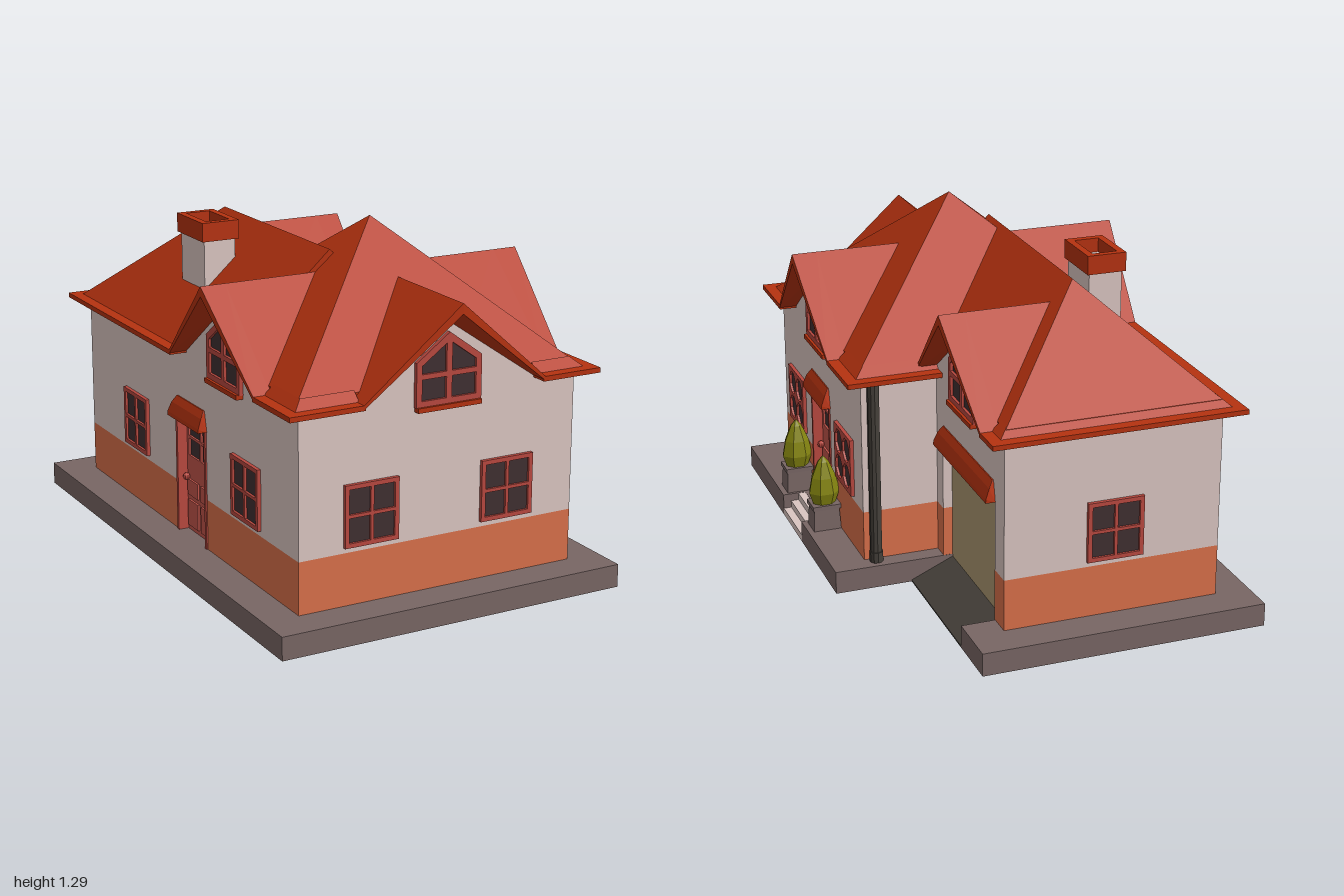
import * as THREE from 'three';
import { ConvexGeometry } from 'three/addons/geometries/ConvexGeometry.js';

const mat = (name, color) => Object.assign(new THREE.MeshStandardMaterial({ color, flatShading: true }), { name });
const M = {
  plaster: mat('plaster', 0xdac5c1), skirt: mat('orange skirting', 0xd8704a), stone: mat('grey stone', 0x786664),
  roof: mat('roof red', 0xb53210), frame: mat('window frame red', 0xb8483f), door: mat('door red', 0xc0544a),
  glass: mat('dark glass', 0x3f2f31), leaf: mat('leaf green', 0x848410), iron: mat('dark iron', 0x45403a),
  shutter: mat('shutter tan', 0xab9570),
};
const V = (x, y, z) => new THREE.Vector3(x, y, z);

function add(parent, name, geometry, material, x = 0, y = 0, z = 0) {
  const m = new THREE.Mesh(geometry, material);
  m.name = name;
  m.position.set(x, y, z);
  parent.add(m);
  return m;
}
// box given by its limits
function box(parent, name, material, x0, x1, y0, y1, z0, z1) {
  return add(parent, name, new THREE.BoxGeometry(x1 - x0, y1 - y0, z1 - z0), material, (x0 + x1) / 2, (y0 + y1) / 2, (z0 + z1) / 2);
}
const toShape = (pts) => new THREE.Shape(pts.map(([x, y]) => new THREE.Vector2(x, y)));
function plate(pts, depth, holes = []) {
  const s = toShape(pts);
  s.holes = holes.map(toShape);
  return new THREE.ExtrudeGeometry(s, { depth, bevelEnabled: false });
}
const rect = (x0, x1, y0, y1) => [[x0, y0], [x1, y0], [x1, y1], [x0, y1]];
// rectangle with cut corners
const cut = (x0, x1, y0, y1, c) => [[x0 + c, y0], [x1 - c, y0], [x1, y0 + c], [x1, y1 - c],
  [x1 - c, y1], [x0 + c, y1], [x0, y1 - c], [x0, y0 + c]];

// closed strip through matching cross-sections, both ends capped as fans
function loft(sections) {
  const out = [], n = sections[0].length;
  const tri = (...p) => p.forEach((v) => out.push(v.x, v.y, v.z));
  for (let s = 0; s + 1 < sections.length; s++) {
    const A = sections[s], B = sections[s + 1];
    for (let i = 0; i < n; i++) {
      const j = (i + 1) % n;
      tri(A[i], B[i], B[j]);
      tri(A[i], B[j], A[j]);
    }
  }
  const first = sections[0], last = sections[sections.length - 1];
  for (let k = 1; k < n - 1; k++) {
    const i = (4 + k) % n, j = (5 + k) % n;
    tri(first[4], first[i], first[j]);
    tri(last[4], last[j], last[i]);
  }
  const g = new THREE.BufferGeometry();
  g.setAttribute('position', new THREE.Float32BufferAttribute(out, 3));
  g.computeVertexNormals();
  return g;
}

// eave running along wall corners [x, z], outward side on the right of travel
function eave(parent, path) {
  const profile = [[0.065, 0.785], [0.065, 0.803], [0.022, 0.803], [-0.014, 0.835], [-0.014, 0.785]];
  const normals = path.slice(1).map(([x, z], i) => [-Math.sign(z - path[i][1]), Math.sign(x - path[i][0])]);
  add(parent, 'eave', loft(path.map(([x, z], i) => {
    const a = normals[i - 1], b = normals[i];
    const nx = (a ? a[0] : 0) + (b ? b[0] : 0), nz = (a ? a[1] : 0) + (b ? b[1] : 0);
    return profile.map(([o, y]) => V(x + nx * o, y, z + nz * o));
  })), M.roof);
}

// gable with leaning peak, its wall, arched window and sill
function gable(side, u, h) {
  const g = new THREE.Group();
  g.name = 'gable';
  g.position.x = u;
  side.add(g);
  const section = (under, wEnd, wPeak) => [V(h, 0.8, wEnd), V(0, 1.11, wPeak), V(-h, 0.8, wEnd),
    V(-h, 0.785, wEnd), V(0, under, wPeak), V(h, 0.785, wEnd)];
  add(g, 'gableRoof', loft([section(1.073, 0.065, 0.095), section(1.03, 0, 0), section(1.03, -0.36, -0.36)]), M.roof);
  add(g, 'gableWall', plate([[-h, 0.785], [h, 0.785], [0, 1.032]], 0.04), M.plaster, 0, 0, -0.04);
  const holes = [-1, 1].flatMap((s) => [
    rect(0.011, 0.106, 0.767, 0.842), [[0.011, 0.86], [0.106, 0.86], [0.106, 0.89], [0.011, 0.958]],
  ].map((p) => p.map(([x, y]) => [s * x, y])));
  const outline = [[-0.128, 0.745], [0.128, 0.745], [0.128, 0.902], [0, 0.995], [-0.128, 0.902]];
  add(g, 'gableWindowFrame', plate(outline, 0.016, holes), M.frame);
  add(g, 'gableWindowGlass', plate(outline.map(([x, y]) => [x * 0.95, 0.86 + (y - 0.86) * 0.93]), 0.006), M.glass);
  box(g, 'gableWindowSill', M.roof, -0.125, 0.125, 0.73, 0.747, 0, 0.026);
}

// four-pane window, panes optionally cornered
function windowUnit(side, u, chamfer = 0) {
  const w = 0.104, y0 = 0.295, y1 = 0.517, f = 0.016, m = 0.006, yc = (y0 + y1) / 2;
  const holes = [];
  for (const [a, b] of [[-w + f, -m], [m, w - f]]) for (const [c, d] of [[y0 + f, yc - m], [yc + m, y1 - f]]) {
    holes.push(chamfer ? cut(a, b, c, d, chamfer) : rect(a, b, c, d));
  }
  add(side, 'windowFrame', plate(rect(-w, w, y0, y1), 0.014, holes), M.frame, u);
  box(side, 'windowGlass', M.glass, u - w + 0.01, u + w - 0.01, y0 + 0.01, y1 - 0.01, -0.002, 0.005);
}

function awning(side, u, hw) {
  const pts = [-1, 1].flatMap((s) => [V(s * hw, 0.53, 0), V(s * hw, 0.53, 0.035), V(s * hw, 0.545, 0.034),
    V(s * (hw - 0.006), 0.58, 0.02), V(s * (hw - 0.018), 0.605, 0.004), V(s * (hw - 0.018), 0.605, 0)]);
  add(side, 'awning', new ConvexGeometry(pts), M.roof, u);
}

// panelled door with four small panes, set back in its opening
function door(side, u) {
  const g = new THREE.Group();
  g.name = 'door';
  g.position.set(u, 0, -0.05);
  side.add(g);
  const panes = [];
  for (const x of [-0.097, 0.006]) for (const y of [0.375, 0.45]) panes.push(rect(x, x + 0.091, y, y + 0.065));
  add(g, 'doorLeaf', plate(rect(-0.125, 0.125, 0.085, 0.535), 0.016, panes), M.door);
  box(g, 'doorGlass', M.glass, -0.11, 0.11, 0.36, 0.525, 0.001, 0.008);
  for (const x of [-0.097, 0.012]) for (const y of [0.105, 0.225]) {
    box(g, 'doorPanel', M.door, x, x + 0.085, y, y + (y < 0.2 ? 0.1 : 0.06), 0.015, 0.024);
  }
  for (const s of [-1, 1]) box(g, 'doorFrame', M.frame, s * 0.118 - 0.007, s * 0.118 + 0.007, 0.085, 0.535, 0, 0.055);
  add(g, 'doorKnob', new THREE.SphereGeometry(0.014, 8, 6), M.frame, -0.092, 0.295, 0.03);
  awning(side, u, 0.13);
}

// wall of skirting and plaster, with an optional opening [centre, half width]
function wall(side, a, b, opening) {
  const parts = opening ? [[a, opening[0] - opening[1]], [opening[0] + opening[1], b]] : [[a, b]];
  for (const [p, q] of parts) {
    box(side, 'skirting', M.skirt, p, q, 0.08, 0.275, -0.05, 0);
    box(side, 'wall', M.plaster, p, q, 0.275, 0.8, -0.05, 0);
  }
  if (opening) box(side, 'wallOverDoor', M.plaster, parts[0][1], parts[1][0], 0.53, 0.8, -0.05, 0);
}

export function createModel() {
  const house = new THREE.Group();
  house.name = 'house';
  const makeSide = (name, x, z, angle) => {
    const g = new THREE.Group();
    g.name = name;
    g.position.set(x, 0, z);
    g.rotation.y = angle;
    house.add(g);
    return g;
  };
  const Q = Math.PI / 2;
  const front = makeSide('frontSide', 0, 0.87, 0), entrance = makeSide('entranceSide', 0.54, 0, Q);
  const garage = makeSide('garageSide', 0.255, 0, Q), far = makeSide('sideDoorSide', -0.545, 0, -Q);
  const back = makeSide('backSide', 0, -0.87, Math.PI), recess = makeSide('recessSide', 0, -0.18, Math.PI);

  // plinth with notches for the steps and the driveway ramp
  const plinth = plate([[-0.675, -1], [0.38, -1], [0.38, -0.785], [0.2, -0.785], [0.2, -0.245], [0.668, -0.245],
    [0.668, 0.22], [0.58, 0.22], [0.58, 0.48], [0.668, 0.48], [0.668, 1], [-0.675, 1]], 0.085);
  add(house, 'plinth', plinth.rotateX(Q), M.stone, 0, 0.085, 0);
  add(house, 'drivewayRamp', plate([[0.2, 0], [0.38, 0], [0.38, 0.006], [0.2, 0.085]], 0.54), M.iron, 0, 0, -0.785);
  for (let i = 0; i < 3; i++) box(house, 'step', M.plaster, 0.57, 0.668 - i * 0.03, i * 0.028, (i + 1) * 0.028, 0.22, 0.48);

  // walls
  wall(front, -0.545, 0.54);
  wall(entrance, -0.87, 0.18, [-0.35, 0.125]);
  wall(garage, 0.14, 0.87, [0.512, 0.268]);
  wall(far, -0.87, 0.87, [0.05, 0.125]);
  wall(back, -0.255, 0.545);
  wall(recess, -0.54, -0.2);

  // windows and doors
  for (const u of [-0.272, 0.265]) windowUnit(front, u);
  for (const u of [-0.67, -0.03]) windowUnit(entrance, u, 0.026);
  for (const u of [-0.425, 0.495]) windowUnit(far, u);
  windowUnit(back, 0.15);
  door(entrance, -0.35);
  door(far, 0.05);

  // garage shutter
  box(garage, 'shutterBack', M.shutter, 0.244, 0.78, 0.06, 0.535, -0.05, -0.035);
  for (let i = 0; i < 20; i++) {
    const y = 0.075 + i * 0.023;
    add(garage, 'shutterSlat', plate([[0, y], [0.012, y + 0.004], [0.012, y + 0.014], [0, y + 0.019]], 0.536)
      .rotateY(-Q), M.shutter, 0.78, 0, -0.036).scale.set(-1, 1, 1);
  }
  house.traverse((m) => { // turn slats so they face outwards along the opening
    if (m.name === 'shutterSlat') { m.scale.set(1, 1, 1); m.rotation.y = Math.PI; m.position.x = 0.244; }
  });
  awning(garage, 0.512, 0.273);

  // hipped roofs
  const base = (x0, x1, z0, z1) => [0.79, 0.826].flatMap((y) => [V(x0, y, z0), V(x1, y, z0), V(x1, y, z1), V(x0, y, z1)]);
  add(house, 'frontRoof', new ConvexGeometry([...base(-0.54, 0.535, -0.17, 0.857), V(0.02, 1.29, 0.345)]), M.roof);
  add(house, 'wingRoof', new ConvexGeometry([...base(-0.54, 0.25, -0.868, 0.345),
    V(-0.14, 1.185, -0.485), V(-0.14, 1.185, 0.345)]), M.roof);
  gable(front, 0.02, 0.36);
  gable(entrance, -0.345, 0.335);
  gable(far, 0.345, 0.335);
  gable(garage, 0.482, 0.335);
  eave(house, [[0.37, 0.87], [0.54, 0.87], [0.54, 0.67]]);
  eave(house, [[0.54, 0.02], [0.54, -0.18], [0.2, -0.18]]);
  eave(house, [[0.255, -0.805], [0.255, -0.87], [-0.545, -0.87], [-0.545, 0.02]]);
  eave(house, [[-0.545, 0.67], [-0.545, 0.87], [-0.33, 0.87]]);

  // chimney
  box(house, 'chimneyStack', M.plaster, -0.39, -0.265, 0.9, 1.16, -0.34, -0.145);
  add(house, 'chimneyCap', plate(rect(-0.402, -0.255, -0.35, -0.132), 0.07, [rect(-0.375, -0.282, -0.325, -0.16)])
    .rotateX(Q), M.roof, 0, 1.212, 0);

  // drainpipe
  add(house, 'drainpipe', new THREE.CylinderGeometry(0.022, 0.022, 0.71, 10), M.iron, 0.5, 0.445, -0.198);
  add(house, 'drainpipeFoot', new THREE.CylinderGeometry(0.025, 0.025, 0.04, 10), M.iron, 0.5, 0.105, -0.2);

  // potted shrubs
  for (const z of [0.535, 0.155]) {
    const pot = new THREE.Group();
    pot.name = 'pottedShrub';
    pot.position.set(0.594, 0.085, z);
    pot.scale.z = 0.82;
    house.add(pot);
    add(pot, 'pot', new THREE.CylinderGeometry(0.068, 0.075, 0.085, 4).rotateY(Math.PI / 4), M.stone, 0, 0.0425, 0);
    box(pot, 'potRim', M.stone, -0.054, 0.054, 0.083, 0.1, -0.054, 0.054);
    const leaf = [[0, 0.098], [0.045, 0.1], [0.06, 0.145], [0.048, 0.205], [0.022, 0.265], [0, 0.29]];
    const shrub = new THREE.LatheGeometry(leaf.map(([r, y]) => new THREE.Vector2(r, y)), 7);
    add(pot, 'shrub', shrub, M.leaf);
  }
  return house;
}
